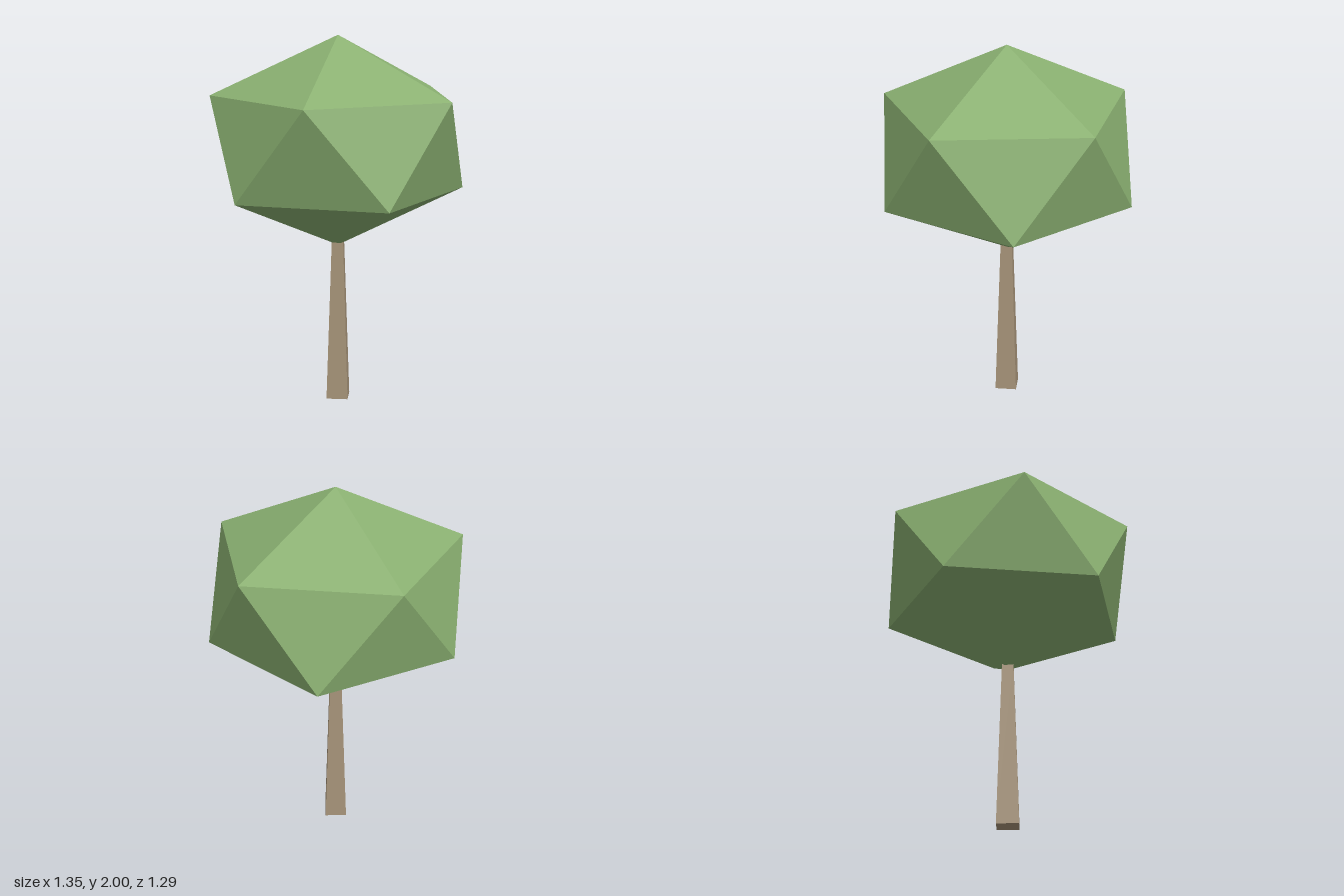
import * as THREE from 'three';
import { ConvexGeometry } from 'three/addons/geometries/ConvexGeometry.js';

const leafGreen = new THREE.MeshStandardMaterial({ color: 0x8ab071, flatShading: true });
leafGreen.name = 'leafGreen';
const barkBrown = new THREE.MeshStandardMaterial({ color: 0xa8957a, flatShading: true });
barkBrown.name = 'barkBrown';

// Five points evenly spaced on a level circle
function ring(y, radius, start) {
  return Array.from({ length: 5 }, (_, i) => {
    const a = start + (i * Math.PI * 2) / 5;
    return new THREE.Vector3(radius * Math.cos(a), y, radius * Math.sin(a));
  });
}

export function createModel() {
  const tree = new THREE.Group();
  tree.name = 'tree';

  // Square tapered trunk with its edges facing front and sides
  const trunkHeight = 0.91;
  const trunk = new THREE.Mesh(
    new THREE.CylinderGeometry(0.043, 0.083, trunkHeight, 4),
    barkBrown
  );
  trunk.position.y = trunkHeight / 2;
  trunk.name = 'trunk';
  tree.add(trunk);

  // Twenty-sided crown, slightly flattened
  const crown = new THREE.Mesh(
    new ConvexGeometry([
      new THREE.Vector3(0, 2, 0),
      ...ring(1.687, 0.677, 0),
      ...ring(1.178, 0.677, Math.PI),
      new THREE.Vector3(0, 0.868, 0),
    ]),
    leafGreen
  );
  crown.name = 'crown';
  tree.add(crown);

  return tree;
}
